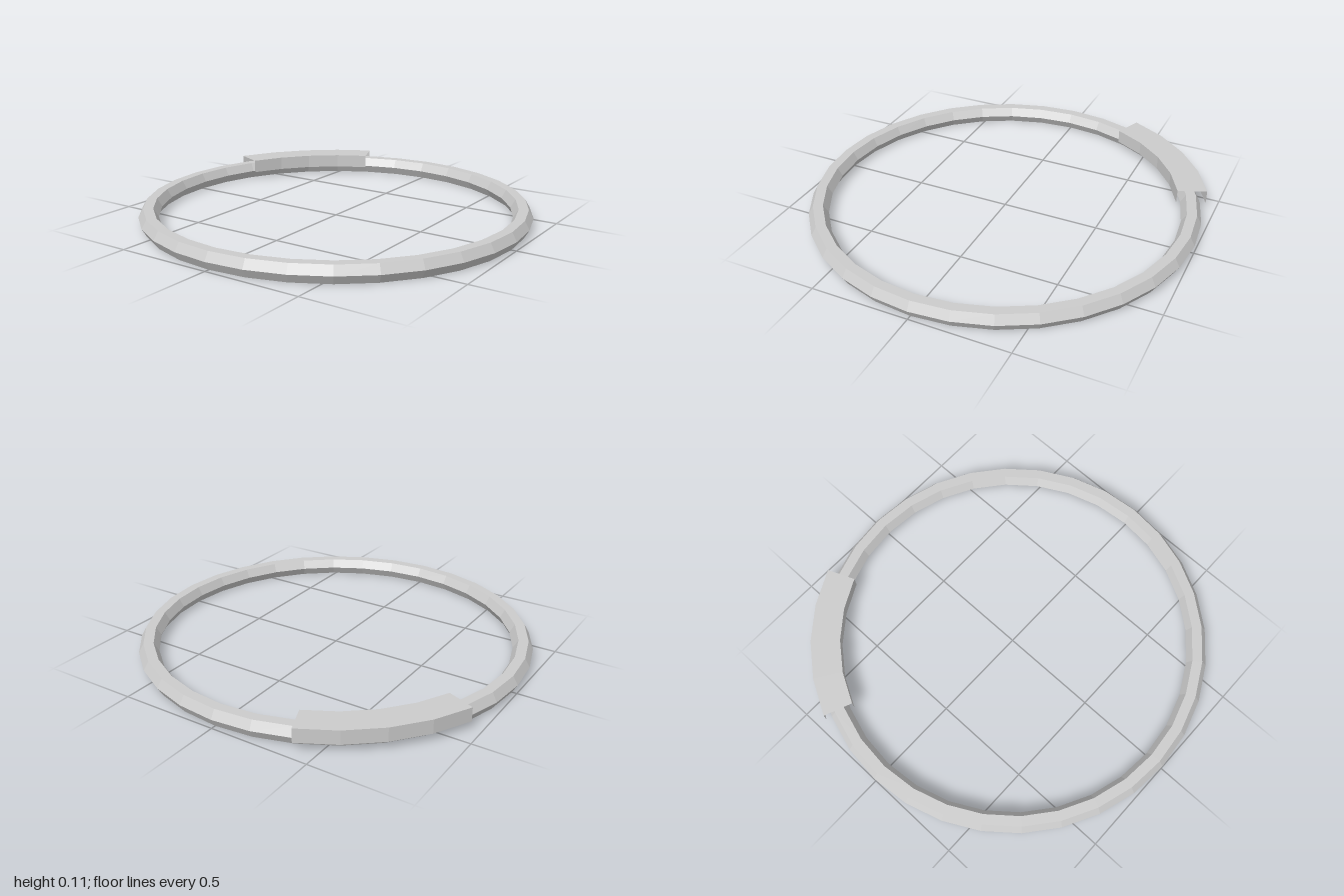
import * as THREE from 'three';

export function createModel() {
  const group = new THREE.Group();

  // Hoop: hexagonal tube bent into a 32-sided ring, lying flat
  const tube = 0.05;
  const halfHeight = tube * Math.sin(Math.PI / 3);
  const hoop = new THREE.Mesh(
    new THREE.TorusGeometry(0.95, tube, 6, 32),
    new THREE.MeshStandardMaterial({ color: 0xcccccc, flatShading: true })
  );
  hoop.name = 'hoop';
  hoop.rotation.x = Math.PI / 2;
  hoop.position.y = halfHeight;
  group.add(hoop);

  // Grip sleeve: thin open-bottomed channel over an eighth of the hoop, back right
  const profile = [[1.03, 0.04], [1.03, 0.11], [0.88, 0.11], [0.88, 0.04]]
    .map(([r, y]) => new THREE.Vector2(r, y));
  const sleeve = new THREE.Mesh(
    new THREE.LatheGeometry(profile, 4, Math.PI * 1.125, Math.PI / 4),
    new THREE.MeshStandardMaterial({ color: 0xcccccc, flatShading: true, side: THREE.DoubleSide })
  );
  sleeve.name = 'gripSleeve';
  group.add(sleeve);

  return group;
}
